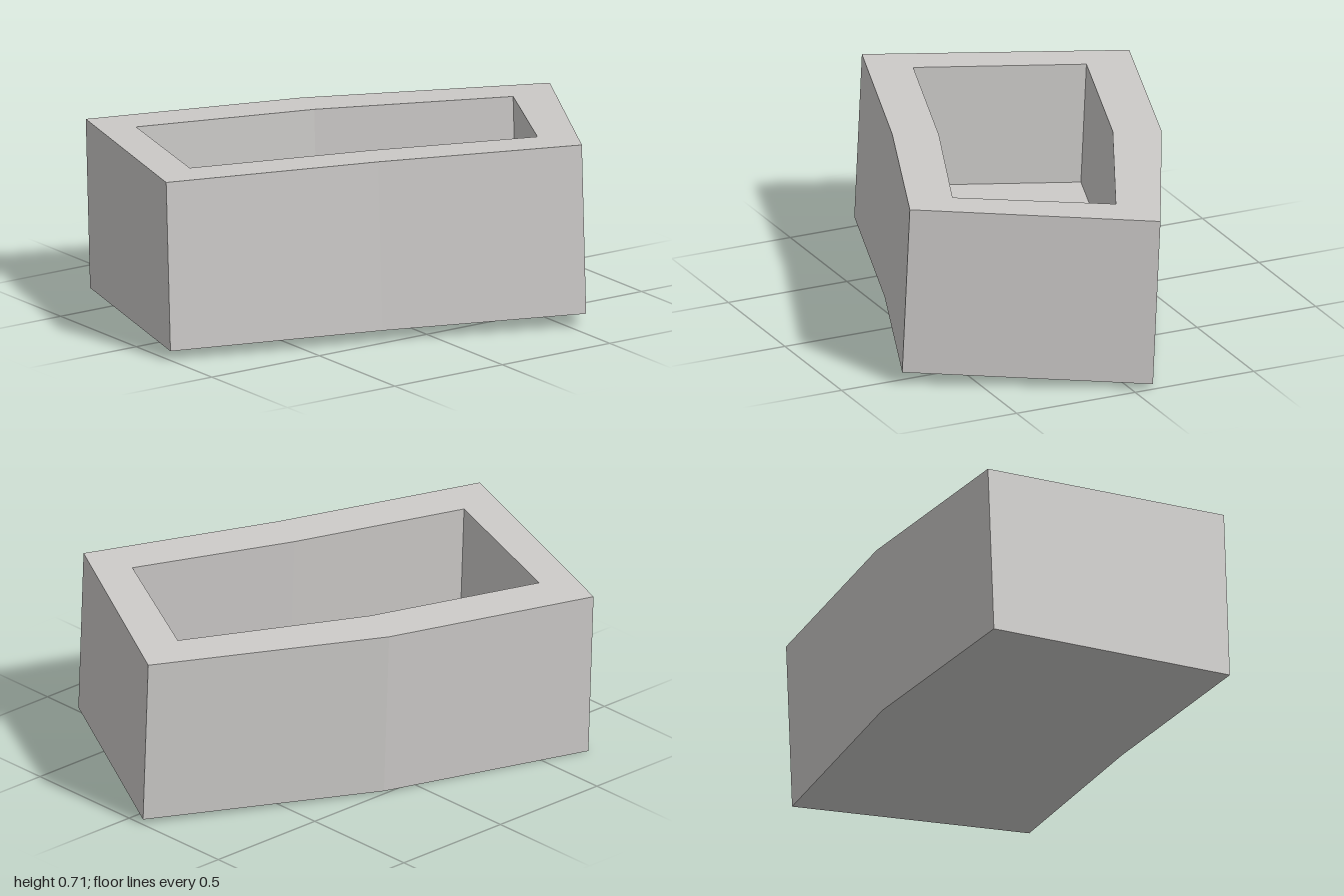
import * as THREE from 'three';

// Plan outlines (x, z) of the outer rim and of the hollow
const OUTER = [[-0.686, -0.78], [0.137, -0.524], [1, -0.107], [0.555, 0.738], [-0.194, 0.455], [-1, 0.198]];
const INNER = [[-0.606, -0.561], [0.073, -0.348], [0.773, -0.027], [0.495, 0.529], [-0.125, 0.291], [-0.804, 0.075]];
const HEIGHT = 0.662;
const HOLLOW_DEPTH = 0.48;

// Places an outline on the slightly tilted rim plane, or below it along the leaning walls
function loop(outline, depth) {
  return outline.map(([x, z]) => new THREE.Vector3(
    x - 0.003 * depth,
    0.6885 - 0.0032 * x + 0.0375 * z - depth,
    z + 0.047 * depth,
  ));
}

function createTroughGeometry() {
  const points = [];

  // Band of quads between two matching loops
  const band = (a, b) => a.forEach((p, i) => {
    const j = (i + 1) % a.length;
    points.push(a[j], p, b[i], a[j], b[i], b[j]);
  });

  // Flat cap around the middle of a loop
  const cap = (a, up) => {
    const mid = a.reduce((s, p) => s.add(p), new THREE.Vector3()).divideScalar(a.length);
    a.forEach((p, i) => {
      const next = a[(i + 1) % a.length];
      points.push(...(up ? [next, p, mid] : [p, next, mid]));
    });
  };

  const base = loop(OUTER, HEIGHT);
  const rim = loop(OUTER, 0);
  const mouth = loop(INNER, 0);
  const floor = loop(INNER, HOLLOW_DEPTH);

  cap(base, false); // underside
  band(base, rim); // outer walls
  band(rim, mouth); // rim
  band(mouth, floor); // inner walls
  cap(floor, true); // floor of the hollow

  const geometry = new THREE.BufferGeometry().setFromPoints(points);
  geometry.computeVertexNormals();
  return geometry;
}

export function createModel() {
  const stone = new THREE.MeshStandardMaterial({ color: 0xcccac8 });
  stone.name = 'paleStone';

  const trough = new THREE.Mesh(createTroughGeometry(), stone);
  trough.name = 'trough';

  const model = new THREE.Group();
  model.name = 'stoneTrough';
  model.add(trough);
  return model;
}
